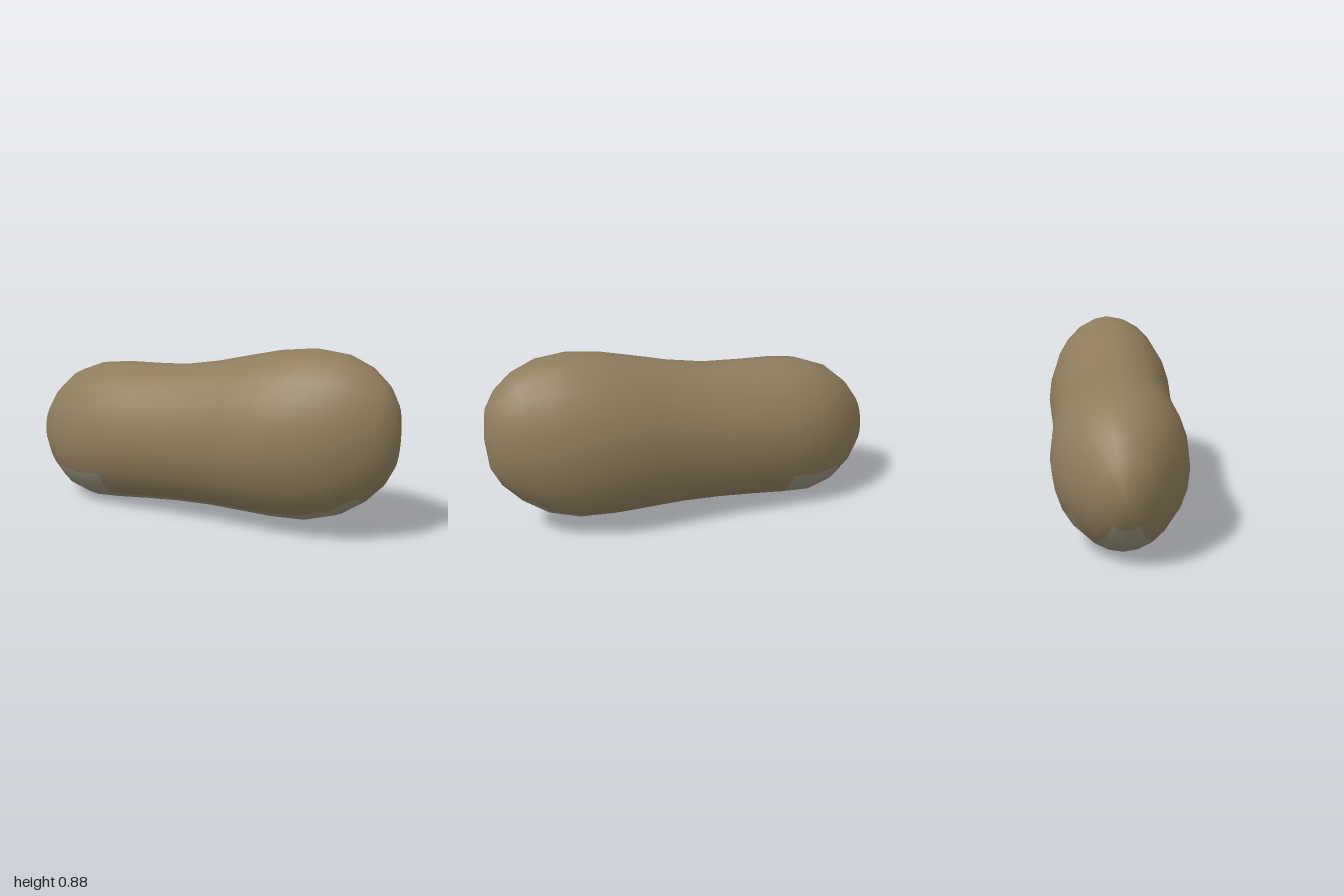
import * as THREE from 'three';

const SIDES = 24;

// Cross-sections along the length: x, bottom y, top y, half width
const SECTIONS = [
  [-1, 0.33, 0.33, 0],
  [-0.95, 0.19, 0.49, 0.11],
  [-0.885, 0.105, 0.575, 0.17],
  [-0.77, 0.03, 0.667, 0.25],
  [-0.63, 0.0, 0.718, 0.302],
  [-0.48, 0.012, 0.735, 0.315],
  [-0.31, 0.03, 0.74, 0.31],
  [-0.12, 0.046, 0.75, 0.304],
  [0.07, 0.054, 0.782, 0.304],
  [0.24, 0.053, 0.822, 0.315],
  [0.41, 0.052, 0.86, 0.325],
  [0.58, 0.062, 0.88, 0.31],
  [0.73, 0.107, 0.865, 0.265],
  [0.85, 0.187, 0.815, 0.205],
  [0.935, 0.275, 0.742, 0.138],
  [0.98, 0.36, 0.665, 0.08],
  [1, 0.52, 0.52, 0],
];

// Number of pale faces on each side of the bottom line, between sections i and i + 1
function paleHalfWidth(i) {
  if (i < 1 || i > 12) return 0;
  return i === 3 || i === 4 ? 4 : 2;
}

export function createModel() {
  const group = new THREE.Group();
  group.name = 'pod';

  // Elliptical rings; the two ends close to a single point
  const positions = [];
  const starts = SECTIONS.map(([x, bottom, top, width]) => {
    const start = positions.length / 3;
    for (let j = 0; j < (width ? SIDES : 1); j++) {
      const a = (j / SIDES) * Math.PI * 2; // 0 is the bottom line
      positions.push(x, (bottom + top) / 2 - Math.cos(a) * (top - bottom) / 2, Math.sin(a) * width);
    }
    return start;
  });
  const vertex = (i, j) => starts[i] + (SECTIONS[i][3] ? j % SIDES : 0);

  const shell = [], belly = [];
  for (let i = 0; i < SECTIONS.length - 1; i++) {
    for (let j = 0; j < SIDES; j++) {
      const pale = Math.min(j, SIDES - 1 - j) < paleHalfWidth(i);
      const list = pale ? belly : shell;
      const a = vertex(i, j), b = vertex(i + 1, j);
      const c = vertex(i + 1, j + 1), d = vertex(i, j + 1);
      if (b !== c) list.push(a, b, c);
      if (a !== d) list.push(a, c, d);
    }
  }

  // Normals come from the whole surface so shading stays smooth across both colours
  const whole = new THREE.BufferGeometry();
  whole.setAttribute('position', new THREE.Float32BufferAttribute(positions, 3));
  whole.setIndex([...shell, ...belly]);
  whole.computeVertexNormals();

  const addPart = (name, index, color) => {
    const geometry = whole.clone().setIndex(index);
    const mesh = new THREE.Mesh(geometry, new THREE.MeshStandardMaterial({ color }));
    mesh.name = name;
    group.add(mesh);
  };
  addPart('shell', shell, 0x8f7d5c);
  addPart('bellyPatch', belly, 0x959078);
  return group;
}
